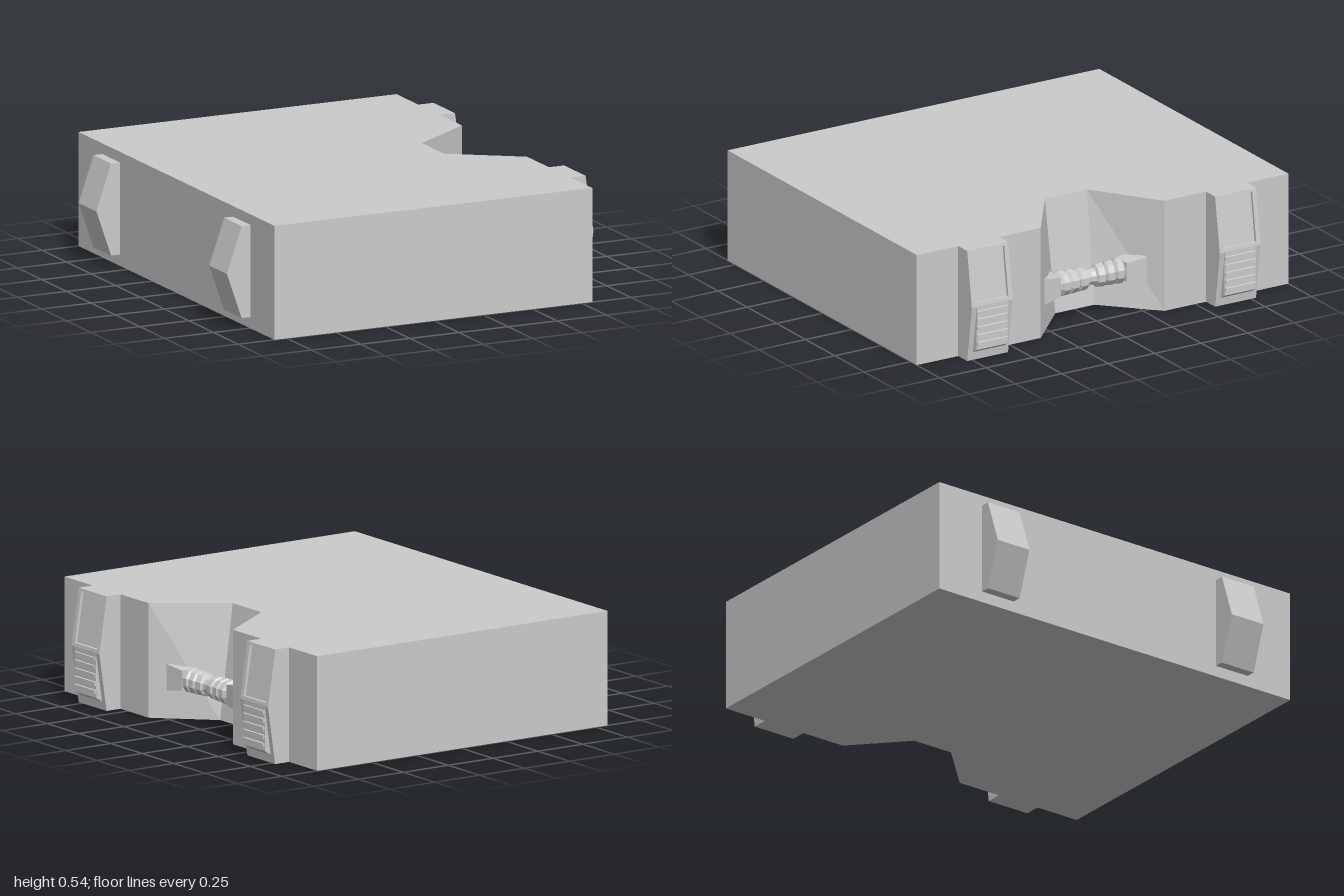
import * as THREE from 'three';

const grey = new THREE.MeshStandardMaterial({ color: 0xcccccc, flatShading: true });

function add(parent, name, geometry) {
  const mesh = new THREE.Mesh(geometry, grey);
  mesh.name = name;
  parent.add(mesh);
  return mesh;
}

// Side profile in x/y, extruded between two z values
function prism(points, z0, z1) {
  const shape = new THREE.Shape(points.map(([x, y]) => new THREE.Vector2(x, y)));
  return new THREE.ExtrudeGeometry(shape, { depth: z1 - z0, bevelEnabled: false }).translate(0, 0, z0);
}

// Case slab with a notch whose walls slope outwards towards the bottom
function bodyGeometry() {
  const outline = [[-0.815, -1], [0.803, -1], [0.803, -0.333], [0.49, -0.113],
    [0.49, 0.113], [0.803, 0.333], [0.803, 1], [-0.815, 1]];
  const geometry = prism(outline, 0, 0.535).rotateX(-Math.PI / 2);
  const p = geometry.attributes.position;
  for (let i = 0; i < p.count; i++) {
    if (p.getY(i) < 0.1 && Math.abs(p.getX(i) - 0.49) < 0.01) {
      p.setX(i, 0.565);
      p.setZ(i, p.getZ(i) * 0.93);
    }
  }
  geometry.computeVertexNormals();
  return geometry;
}

// Latch with a framed upper panel and a ribbed lower grip
function latch() {
  const group = new THREE.Group();
  group.name = 'latch';
  const slope = (y) => 0.92 - 0.04 * (y - 0.27) / 0.265;
  const inset = 0.014;
  add(group, 'latchBase', prism([[0.79, 0], [0.88, 0], [0.92, 0.27],
    [slope(0.275) - inset, 0.275], [slope(0.535) - inset, 0.535], [0.79, 0.535]], -0.11, 0.11));

  // Panel frame
  const rail = (y0, y1) => [[slope(y0) - inset, y0], [slope(y0), y0], [slope(y1), y1], [slope(y1) - inset, y1]];
  for (const s of [-1, 1]) {
    add(group, 'frameSide', prism(rail(0.27, 0.535), s * 0.099 - 0.011, s * 0.099 + 0.011));
  }
  add(group, 'frameTop', prism(rail(0.522, 0.535), -0.088, 0.088));
  add(group, 'frameBottom', prism(rail(0.27, 0.287), -0.088, 0.088));

  // Grip and its ribs
  add(group, 'grip', prism([[0.87, 0.04], [0.886, 0.04], [0.918, 0.06], [0.92, 0.268], [0.9, 0.268]], -0.083, 0.083));
  for (let i = 0; i < 5; i++) {
    const y = 0.088 + i * 0.038;
    add(group, 'gripRib', prism([[0.91, y - 0.012], [0.926, y - 0.008], [0.926, y + 0.008], [0.91, y + 0.012]], -0.08, 0.08));
  }
  return group;
}

// Ribbed carrying handle with flared square ends
function handle() {
  const group = new THREE.Group();
  group.name = 'handle';
  group.position.set(0.683, 0.193, 0);
  const half = [[0.025, 0.04], [0.035, 0.054], [0.07, 0.057], [0.08, 0.045], [0.09, 0.057],
    [0.12, 0.059], [0.13, 0.048], [0.14, 0.06], [0.168, 0.06], [0.182, 0.045], [0.2, 0.042]];
  const profile = [
    ...half.map(([z, r]) => new THREE.Vector2(r, -z)).reverse(),
    new THREE.Vector2(0.037, 0),
    ...half.map(([z, r]) => new THREE.Vector2(r, z)),
  ];
  const grip = new THREE.LatheGeometry(profile, 10).rotateX(Math.PI / 2);
  // Slant the rings away from the middle
  const p = grip.attributes.position;
  for (let i = 0; i < p.count; i++) {
    const z = p.getZ(i);
    const lean = THREE.MathUtils.clamp(z / 0.04, -1, 1);
    p.setZ(i, z - 0.2 * lean * p.getX(i));
  }
  grip.computeVertexNormals();
  add(group, 'handleGrip', grip);

  for (const s of [-1, 1]) {
    const end = new THREE.CylinderGeometry(0.062 * Math.SQRT2, 0.046 * Math.SQRT2, 0.1, 4)
      .rotateY(Math.PI / 4).rotateX(s * Math.PI / 2).translate(0, 0, s * 0.226);
    add(group, 'handleEnd', end);
  }
  return group;
}

export function createModel() {
  const model = new THREE.Group();
  model.name = 'carryCase';
  add(model, 'body', bodyGeometry());
  model.add(handle());

  const footProfile = [[-0.81, 0.053], [-0.86, 0.053], [-0.935, 0.268], [-0.86, 0.485], [-0.81, 0.485]];
  for (const z of [-0.667, 0.667]) {
    const l = latch();
    l.position.z = z;
    model.add(l);
    add(model, 'foot', prism(footProfile, z - 0.09, z + 0.09));
  }
  return model;
}
